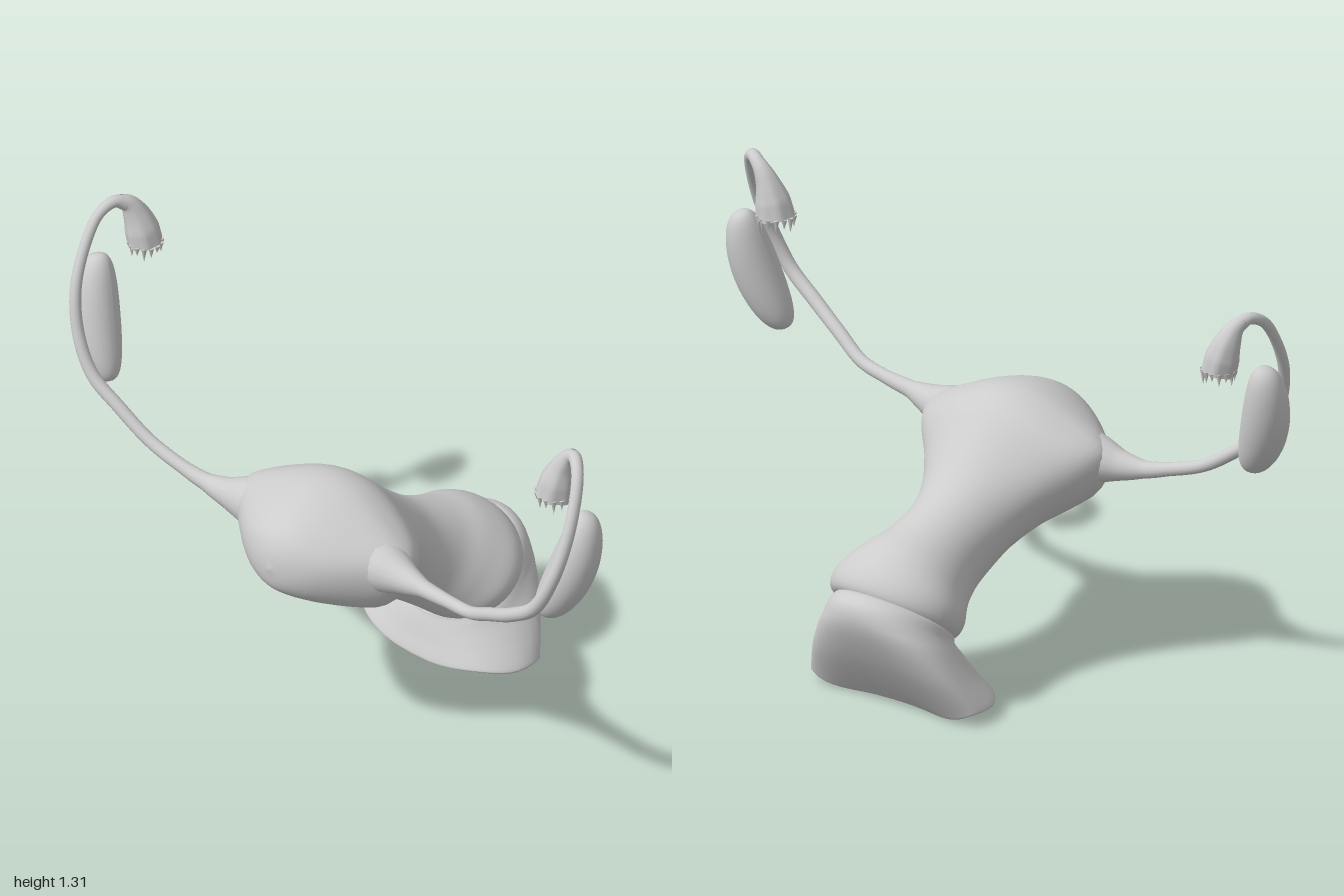
import * as THREE from 'three';

const V = (x, y, z) => new THREE.Vector3(x, y, z);

// Skin a list of closed rings (arrays of Vector3 of equal length)
function skin(rings) {
  const n = rings[0].length, pos = [], idx = [];
  rings.forEach(r => r.forEach(p => pos.push(p.x, p.y, p.z)));
  for (let i = 0; i < rings.length - 1; i++) {
    for (let j = 0; j < n; j++) {
      const a = i * n + j, b = i * n + (j + 1) % n;
      idx.push(a, b, a + n, b, b + n, a + n);
    }
  }
  const g = new THREE.BufferGeometry();
  g.setAttribute('position', new THREE.Float32BufferAttribute(pos, 3));
  g.setIndex(idx);
  g.computeVertexNormals();
  return g;
}

// Oval sections [topZ, topY, bottomZ, bottomY, halfWidth, centreX, roundness], smoothly interpolated
function sectionLoft(sections, steps, sides, shape) {
  const spline = f => new THREE.CatmullRomCurve3(sections.map(f), false, 'catmullrom', 0.5);
  const top = spline(s => V(0, s[1], s[0]));
  const bottom = spline(s => V(0, s[3], s[2]));
  const width = spline(s => V(s[4], s[5] ?? 0, s[6] ?? 1));
  const power = (v, e) => Math.sign(v) * Math.abs(v) ** e;
  const rings = [];
  for (let i = 0; i <= steps; i++) {
    const t = i / steps, a = top.getPoint(t), b = bottom.getPoint(t), w = width.getPoint(t);
    const mid = a.clone().add(b).multiplyScalar(0.5), half = a.clone().sub(mid);
    rings.push(Array.from({ length: sides }, (_, j) => {
      const th = j / sides * Math.PI * 2;
      const p = mid.clone().addScaledVector(half, power(Math.cos(th), w.z));
      p.x = w.y + w.x * power(Math.sin(th), w.z);
      shape(p, t, th);
      return p;
    }));
  }
  return skin(rings);
}

// Round sweep through points [x, y, z, radius]
function sweep(points, steps, sides, lobes = () => 1) {
  const curve = new THREE.CatmullRomCurve3(points.map(p => V(p[0], p[1], p[2])));
  const frames = curve.computeFrenetFrames(steps);
  const rings = [];
  for (let i = 0; i <= steps; i++) {
    const u = i / steps, s = curve.getUtoTmapping(u) * (points.length - 1);
    const k = Math.min(Math.floor(s), points.length - 2);
    const r = THREE.MathUtils.lerp(points[k][3], points[k + 1][3], s - k);
    const c = curve.getPointAt(u);
    rings.push(Array.from({ length: sides }, (_, j) => {
      const th = j / sides * Math.PI * 2, q = r * lobes(u, th);
      return c.clone()
        .addScaledVector(frames.normals[i], q * Math.cos(th))
        .addScaledVector(frames.binormals[i], q * Math.sin(th));
    }));
  }
  return skin(rings);
}

export function createModel() {
  const model = new THREE.Group();
  model.name = 'anatomyModel';
  const grey = new THREE.MeshStandardMaterial({ color: 0xcccccc, side: THREE.DoubleSide });
  grey.name = 'light grey';
  const add = (name, geometry, parent = model) => {
    const m = new THREE.Mesh(geometry, grey);
    m.name = name;
    parent.add(m);
    return m;
  };

  // Main body, from the rounded front dome to the back neck, with sloping shoulders
  const sag = (p, t, th) => {
    p.y -= 0.028 * Math.sin(2 * th) ** 2 * Math.max(0, 1 - Math.abs(t - 0.31) / 0.2);
  };
  add('body', sectionLoft([
    [0.49, 0.62, 0.49, 0.62, 0],
    [0.474, 0.685, 0.48, 0.56, 0.065],
    [0.43, 0.74, 0.45, 0.525, 0.14],
    [0.33, 0.785, 0.39, 0.495, 0.235],
    [0.22, 0.80, 0.32, 0.475, 0.315],
    [0.13, 0.77, 0.25, 0.445, 0.298],
    [0.04, 0.685, 0.17, 0.4, 0.22],
    [-0.04, 0.61, 0.09, 0.345, 0.165],
    [-0.12, 0.55, 0.02, 0.29, 0.14, 0.005],
    [-0.22, 0.505, -0.04, 0.245, 0.145, 0.015],
    [-0.31, 0.475, -0.09, 0.205, 0.175, 0.025],
    [-0.385, 0.425, -0.13, 0.17, 0.21, 0.03],
    [-0.42, 0.37, -0.16, 0.15, 0.2, 0.03],
    [-0.40, 0.33, -0.20, 0.17, 0.14, 0.02],
    [-0.30, 0.25, -0.30, 0.25, 0, 0.02],
  ], 70, 48, sag));

  // Flared cuff: rolled upper lip, outer wall, wavy rim and inner wall.
  // Near the rim the sides lift and sweep backwards.
  const flare = (p, t, th) => {
    const k = Math.max(0, 1 - Math.abs(t - 0.66) / 0.34), side = Math.sin(th) ** 2;
    p.y += k * (0.022 * side + 0.006 * Math.cos(5 * th));
    p.z -= k * 0.1 * side * (0.75 + 0.25 * Math.cos(th));
  };
  add('cuff', sectionLoft([
    [-0.40, 0.34, -0.18, 0.165, 0.165, 0.015],
    [-0.44, 0.367, -0.155, 0.15, 0.18, 0.015],
    [-0.485, 0.34, -0.147, 0.135, 0.19, 0.015],
    [-0.485, 0.27, -0.135, 0.11, 0.215, 0.01, 0.9],
    [-0.425, 0.15, -0.12, 0.075, 0.255, 0.01, 0.82],
    [-0.325, 0.01, -0.1, 0.03, 0.3, 0.01, 0.76],
    [-0.31, 0.014, -0.115, 0.034, 0.282, 0.01, 0.76],
    [-0.40, 0.15, -0.145, 0.09, 0.225, 0.01, 0.82],
    [-0.44, 0.28, -0.17, 0.14, 0.17, 0.01],
  ], 64, 48, flare));

  // Slender side tubes, each with a broad root on the body
  const tubes = {
    left: [
      [0.2, 0.63, 0.265, 0.09], [0.27, 0.637, 0.275, 0.072], [0.34, 0.643, 0.285, 0.047],
      [0.42, 0.652, 0.295, 0.026], [0.52, 0.662, 0.305, 0.02], [0.62, 0.68, 0.32, 0.019],
      [0.72, 0.735, 0.345, 0.02], [0.83, 0.80, 0.37, 0.021], [0.92, 0.87, 0.378, 0.021],
      [0.968, 0.97, 0.36, 0.02], [0.982, 1.08, 0.316, 0.019], [0.97, 1.19, 0.263, 0.018],
      [0.94, 1.262, 0.217, 0.018], [0.90, 1.284, 0.184, 0.019], [0.865, 1.262, 0.168, 0.022],
    ],
    right: [
      [-0.2, 0.625, 0.265, 0.09], [-0.27, 0.622, 0.275, 0.072], [-0.34, 0.618, 0.285, 0.046],
      [-0.42, 0.622, 0.295, 0.026], [-0.5, 0.64, 0.305, 0.02], [-0.62, 0.68, 0.315, 0.019],
      [-0.73, 0.75, 0.325, 0.019], [-0.82, 0.82, 0.335, 0.019], [-0.88, 0.92, 0.328, 0.018],
      [-0.92, 1.05, 0.30, 0.017], [-0.938, 1.17, 0.24, 0.016], [-0.938, 1.25, 0.18, 0.016],
      [-0.924, 1.272, 0.13, 0.018], [-0.908, 1.255, 0.097, 0.023],
    ],
  };
  // Drooping bell-shaped funnels at the ends of the tubes
  const funnels = {
    left: [
      [0.885, 1.28, 0.174, 0.019], [0.862, 1.258, 0.17, 0.025], [0.842, 1.22, 0.172, 0.035],
      [0.828, 1.17, 0.177, 0.05], [0.819, 1.12, 0.18, 0.056],
    ],
    right: [
      [-0.918, 1.27, 0.115, 0.019], [-0.906, 1.25, 0.09, 0.027], [-0.893, 1.21, 0.073, 0.039],
      [-0.88, 1.165, 0.065, 0.049], [-0.87, 1.12, 0.062, 0.05],
    ],
  };

  for (const side of ['left', 'right']) {
    add(side + 'Tube', sweep(tubes[side], 90, 16));
    const end = new THREE.Group();
    end.name = side + 'FringedEnd';
    model.add(end);
    add(side + 'Funnel', sweep(funnels[side], 20, 28, (u, th) => 1 + 0.05 * u * Math.cos(7 * th)), end);

    // Ragged fringe of little points around the funnel mouth
    const [fx, fy, fz, fr] = funnels[side].at(-1);
    for (let k = 0; k < 14; k++) {
      const a = k / 14 * Math.PI * 2, len = 0.025 + 0.02 * ((k * 7) % 5) / 4;
      const cone = new THREE.ConeGeometry(0.009, len, 6).rotateX(Math.PI);
      cone.translate(fx + (fr - 0.004) * Math.cos(a), fy + 0.008 - len / 2, fz + (fr - 0.004) * Math.sin(a));
      add('fringe', cone, end);
    }

    // Bean-shaped ovary with blunt ends, bowed outwards and leaning
    const bean = new THREE.SphereGeometry(1, 32, 32);
    const p = bean.attributes.position;
    for (let i = 0; i < p.count; i++) {
      const y = p.getY(i), blunt = Math.max(1 - y * y, 1e-4) ** -0.13;
      p.setXYZ(i, p.getX(i) * 0.07 * blunt + 0.024 * (0.5 - y * y), y * 0.19, p.getZ(i) * 0.068 * blunt);
    }
    bean.computeVertexNormals();
    bean.rotateZ(-0.28).rotateX(-0.2);
    const ovary = add(side + 'Ovary', bean);
    const s = side === 'left' ? 1 : -1;
    ovary.position.set(s * 0.906, 0.924, 0.215);
    ovary.scale.x = s;
  }
  return model;
}
